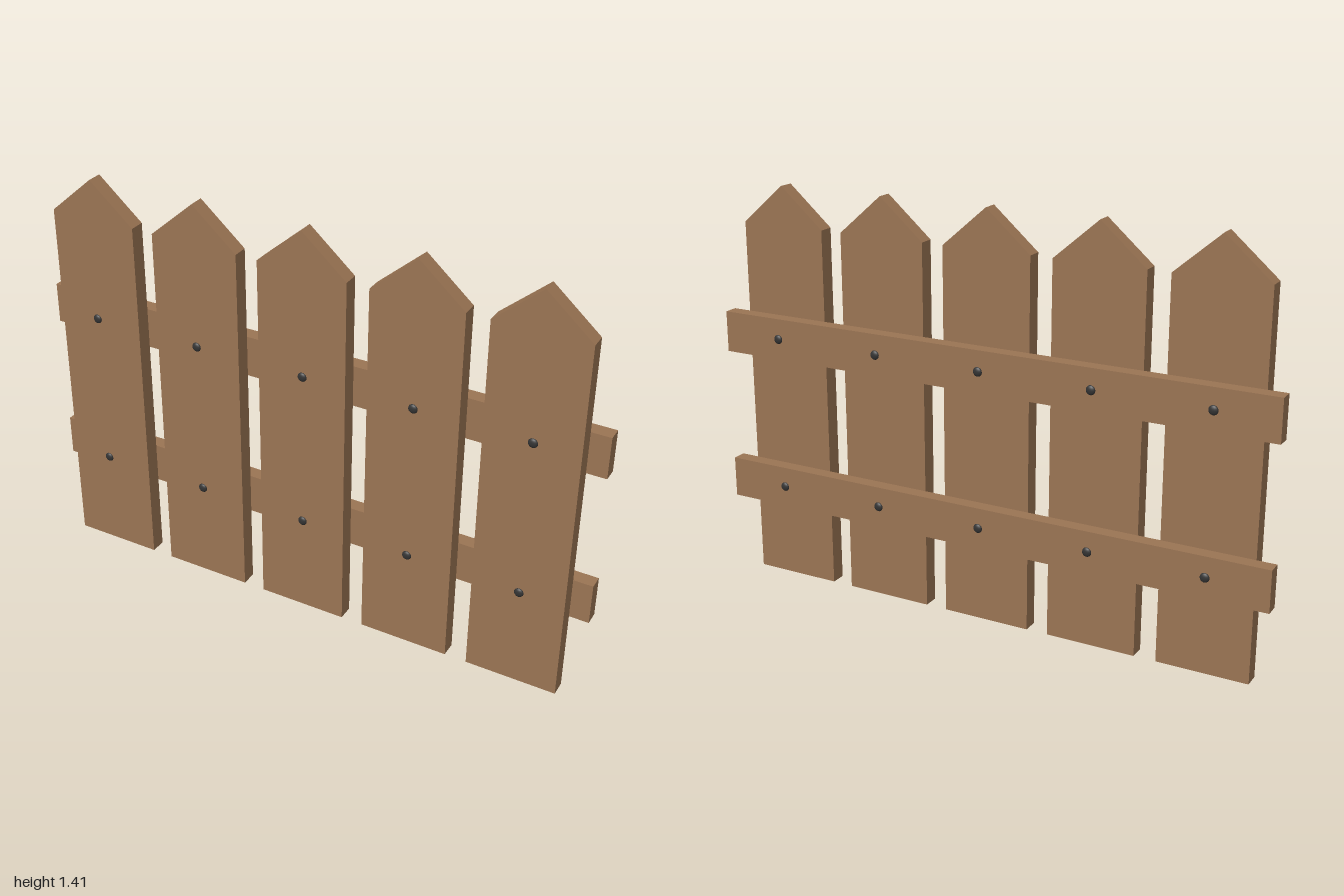
import * as THREE from 'three';

const wood = new THREE.MeshStandardMaterial({ color: 0x9a7453 });
const iron = new THREE.MeshStandardMaterial({ color: 0x333333 });

const SPACING = 0.389, BOARD_W = 0.313, SHOULDER = 1.277, PEAK = 1.412;
const FRONT = 0.053, SEAM = -0.001, BACK = -0.05;
const RAIL_H = 0.143;

function add(parent, name, geometry, material, x, y, z) {
  const mesh = new THREE.Mesh(geometry, material);
  mesh.name = name;
  mesh.position.set(x, y, z);
  parent.add(mesh);
  return mesh;
}

export function createModel() {
  const fence = new THREE.Group();
  fence.name = 'picketFence';

  // Pointed board outline, extruded to the board thickness
  const h = BOARD_W / 2;
  const outline = new THREE.Shape([
    [-h, 0], [h, 0], [h, SHOULDER], [0, PEAK], [-h, SHOULDER],
  ].map(([x, y]) => new THREE.Vector2(x, y)));
  const boardGeo = new THREE.ExtrudeGeometry(outline, { depth: FRONT - SEAM, bevelEnabled: false });
  const railGeo = new THREE.BoxGeometry(2, RAIL_H, SEAM - BACK);

  // Flattened round nail head
  const nailGeo = new THREE.SphereGeometry(0.016, 16, 10);
  nailGeo.scale(1, 1, 0.5);

  // Two horizontal rails behind the boards
  for (const [name, y] of [['lowerRail', 0.352], ['upperRail', 0.893]]) {
    add(fence, name, railGeo, wood, 0, y, (SEAM + BACK) / 2);
  }

  // Five pickets, each nailed through both rails
  const nailX = [-0.79, -0.393, 0.003, 0.391, 0.782];
  nailX.forEach((nx, i) => {
    add(fence, 'picket', boardGeo, wood, (i - 2) * SPACING, 0, SEAM);
    for (const [frontY, backY] of [[0.353, 0.353], [0.909, 0.893]]) {
      add(fence, 'frontNail', nailGeo, iron, nx, frontY, FRONT);
      add(fence, 'backNail', nailGeo, iron, nx, backY, BACK);
    }
  });

  return fence;
}
